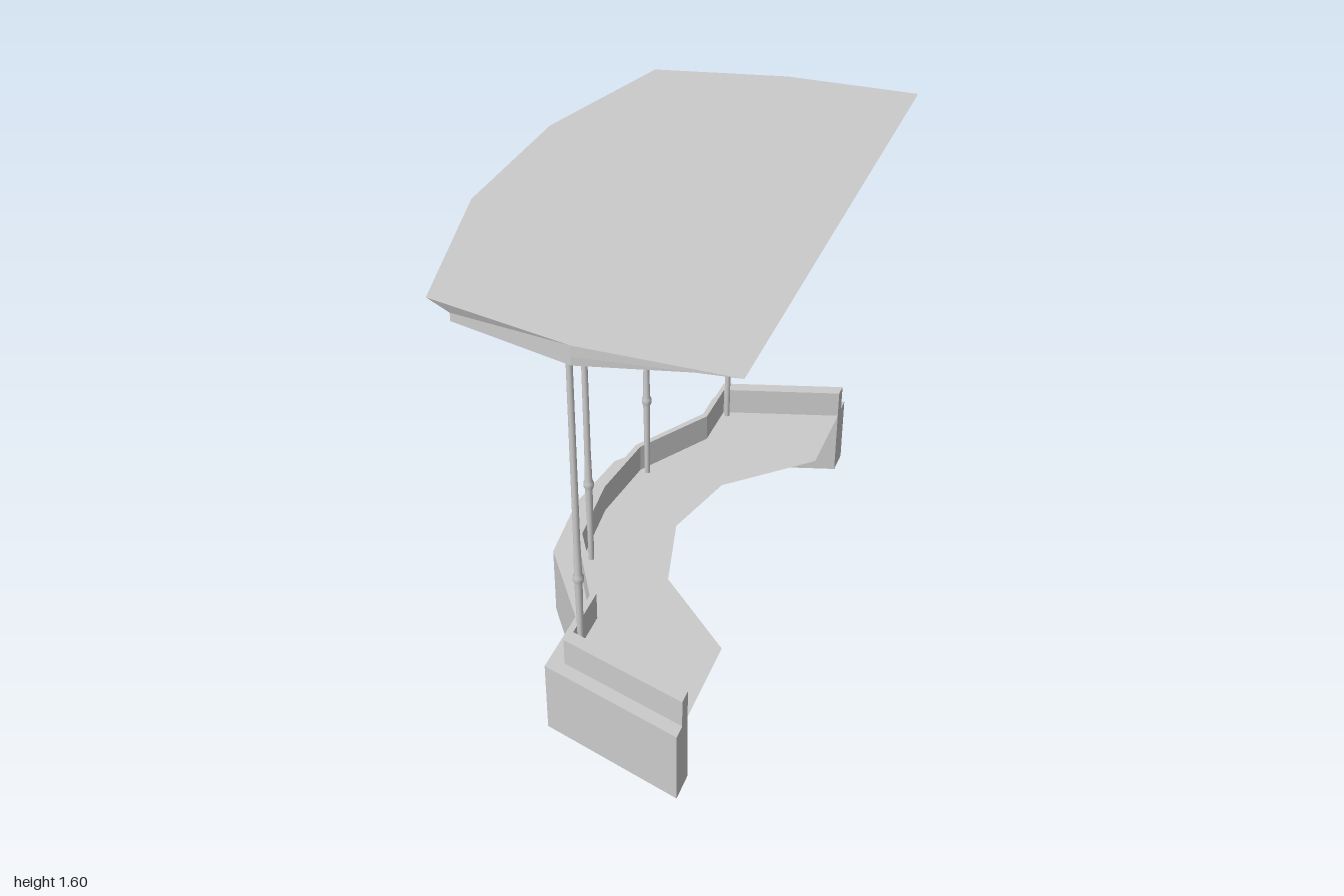
import * as THREE from 'three';

const material = new THREE.MeshStandardMaterial({ color: 0xcccccc, flatShading: true });
const sheet = new THREE.MeshStandardMaterial({ color: 0xcccccc, side: THREE.DoubleSide });
const smooth = new THREE.MeshStandardMaterial({ color: 0xcccccc });

// Plan points [x, z] for the +z half, mirrored to run on to the -z half.
function mirrored(half) {
  const back = half.filter(([, z]) => z > 0).reverse().map(([x, z]) => [x, -z]);
  return [...half, ...back];
}

function planShape(points) {
  return new THREE.Shape(points.map(([x, z]) => new THREE.Vector2(x, -z)));
}

function add(parent, name, geometry, mat = material) {
  const mesh = new THREE.Mesh(geometry, mat);
  mesh.name = name;
  parent.add(mesh);
  return mesh;
}

// Band of wall between two plan lines, from height y0 to y1.
function wallBand(outer, inner, y0, y1) {
  const shape = planShape([...mirrored(outer), ...mirrored(inner).reverse()]);
  return new THREE.ExtrudeGeometry(shape, { depth: y1 - y0, bevelEnabled: false })
    .rotateX(-Math.PI / 2).translate(0, y0, 0);
}

// Solid through matching rings (clockwise from above), bottom to top, with flat caps.
function loft(rings) {
  const n = rings[0].points.length;
  const pos = [], index = [];
  for (const { y, points } of rings) for (const [x, z] of points) pos.push(x, y, z);
  for (let r = 0; r < rings.length - 1; r++) {
    for (let i = 0; i < n; i++) {
      const j = (i + 1) % n, a = r * n + i, b = r * n + j;
      index.push(a, a + n, b, b, a + n, b + n);
    }
  }
  const top = (rings.length - 1) * n;
  for (let i = 1; i < n - 1; i++) {
    index.push(0, i, i + 1);
    index.push(top, top + i + 1, top + i);
  }
  const geometry = new THREE.BufferGeometry();
  geometry.setAttribute('position', new THREE.Float32BufferAttribute(pos, 3));
  geometry.setIndex(index);
  const flat = geometry.toNonIndexed();
  flat.computeVertexNormals();
  return flat;
}

export function createModel() {
  const model = new THREE.Group();
  model.name = 'shelter';

  // Stepped wall
  const outer = [[0.37, 0.99], [-0.135, 0.838], [-0.135, 0.585], [-0.345, 0.29], [-0.38, 0]];
  const ledge = [[0.37, 0.94], [-0.08, 0.805], [-0.085, 0.575], [-0.255, 0.285], [-0.283, 0]];
  const inner = [[0.37, 0.89], [-0.065, 0.76], [-0.067, 0.56], [-0.235, 0.28], [-0.265, 0]];
  const wall = new THREE.Group();
  wall.name = 'wall';
  model.add(wall);
  add(wall, 'lowerWall', wallBand(outer, inner, 0, 0.265));
  add(wall, 'upperWall', wallBand(ledge, inner, 0.265, 0.365));

  // Thin seat reaching in from the wall
  const seatEdge = [[0.37, 0.56], [0.085, 0.29], [0.01, 0]];
  const seatShape = planShape([...mirrored(inner), ...mirrored(seatEdge).reverse()]);
  add(model, 'seat', new THREE.ShapeGeometry(seatShape).rotateX(-Math.PI / 2).translate(0, 0.26, 0), sheet);

  // Four poles with a small swelling
  const profile = [[0, 0.26], [0.01, 0.26], [0.011, 0.42], [0.013, 0.562], [0.018, 0.574],
    [0.018, 0.589], [0.013, 0.6], [0.011, 0.72], [0.01, 1.54]];
  const poleGeometry = new THREE.LatheGeometry(profile.map(([r, y]) => new THREE.Vector2(r, y)), 12);
  for (const side of [1, -1]) {
    for (const [x, z] of [[-0.046, 0.745], [-0.206, 0.276]]) {
      add(model, 'pole', poleGeometry, smooth).position.set(x, 0, side * z);
    }
  }

  // Flat roof with a flared edge
  const roofTop = mirrored([[0.555, 1], [0.075, 1], [-0.4, 0.9], [-0.555, 0.3]]);
  const roofBase = mirrored([[0.48, 0.9], [0.075, 1], [-0.33, 0.9], [-0.48, 0.3]]);
  add(model, 'roof', loft([
    { y: 1.538, points: roofBase },
    { y: 1.565, points: roofBase },
    { y: 1.6, points: roofTop },
  ]));

  return model;
}
